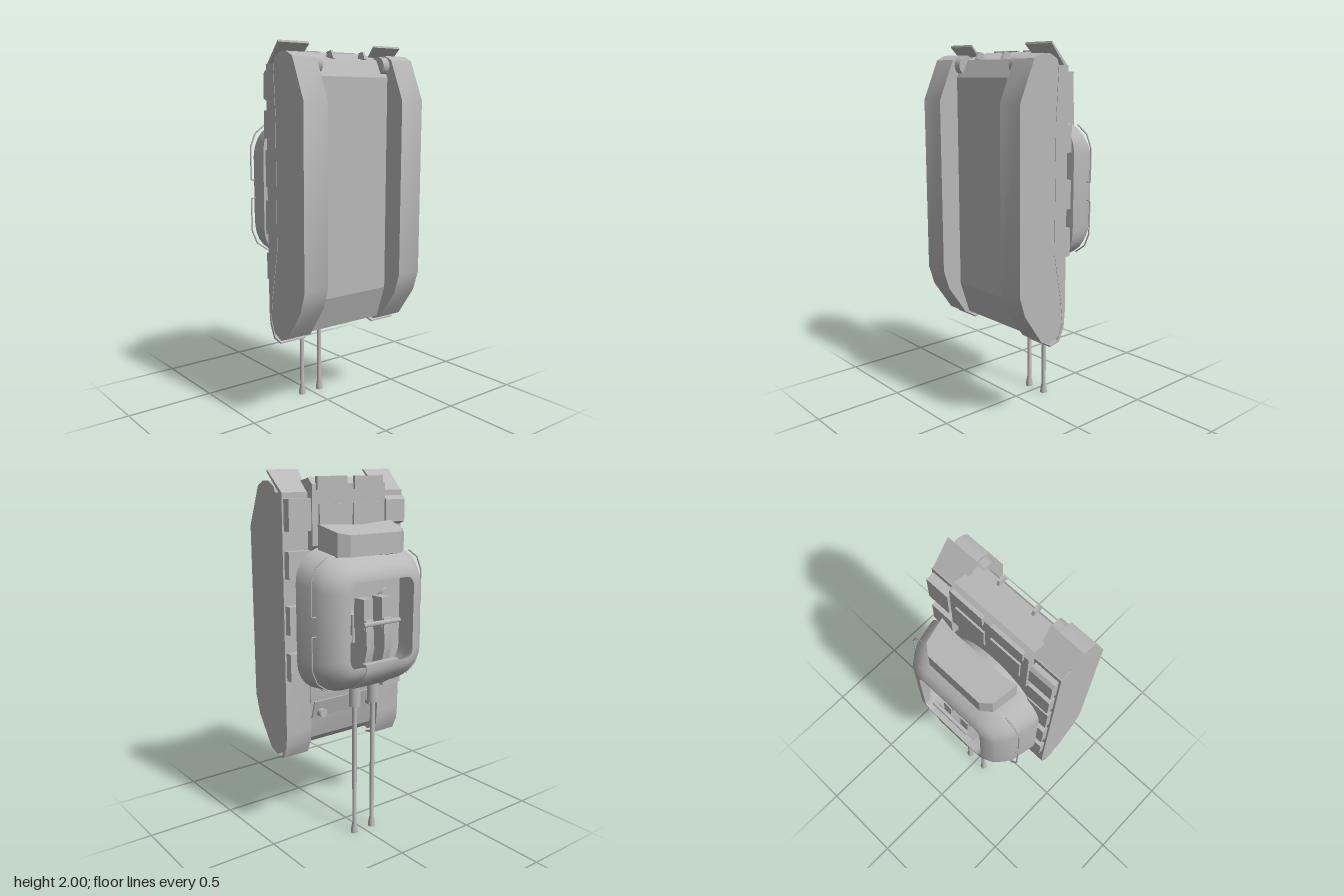
import * as THREE from 'three';
import { toCreasedNormals } from 'three/addons/utils/BufferGeometryUtils.js';

export function createModel() {
  const model = new THREE.Group();
  const grey = new THREE.MeshStandardMaterial({ color: 0xb8b8b8 });
  grey.name = 'plainGrey';

  const add = (name, geo) => {
    const m = new THREE.Mesh(geo, grey);
    m.name = name;
    model.add(m);
    return m;
  };
  const box = (name, x0, x1, y0, y1, z0, z1) =>
    add(name, new THREE.BoxGeometry(x1 - x0, y1 - y0, z1 - z0)
      .translate((x0 + x1) / 2, (y0 + y1) / 2, (z0 + z1) / 2));
  // side profile of [z, y] points swept from x0 to x1
  const prism = (name, pts, x0, x1, crease = 0.3) => {
    const shape = new THREE.Shape(pts.map(([z, y]) => new THREE.Vector2(-z, y)));
    const geo = new THREE.ExtrudeGeometry(shape, { depth: x1 - x0, bevelEnabled: false });
    return add(name, toCreasedNormals(geo.rotateY(Math.PI / 2).translate(x0, 0, 0), crease));
  };
  const rod = (name, r, x0, x1, y, z, sides = 12) =>
    add(name, toCreasedNormals(new THREE.CylinderGeometry(r, r, x1 - x0, sides), 0.7)
      .rotateZ(Math.PI / 2).translate((x0 + x1) / 2, y, z));
  const lathe = (name, pts, x, z) =>
    add(name, toCreasedNormals(new THREE.LatheGeometry(
      pts.map(([r, y]) => new THREE.Vector2(r, y)), 16), 0.6).translate(x, 0, z));
  const disc = (name, r, depth, x, y, z, sides = 12) =>
    add(name, toCreasedNormals(new THREE.CylinderGeometry(r, r, depth, sides), 0.7)
      .rotateX(Math.PI / 2).translate(x, y, z));

  // Hull, standing on its nose with the belly towards +z
  prism('hull', [[0.21, 0.68], [0.21, 1.83], [0.165, 1.92], [0, 1.96], [-0.035, 1.93],
    [-0.035, 1.62], [0, 1.58], [0, 0.76], [0.06, 0.54], [0.12, 0.49], [0.15, 0.5]], -0.24, 0.24);
  prism('nosePlateLip', [[-0.012, 0.77], [0.005, 0.77], [0.03, 0.67], [0.015, 0.67]], -0.22, 0.22);

  for (const s of [-1, 1]) {
    const span = (a, b) => (s > 0 ? [a, b] : [-b, -a]);
    // Tracks
    prism('track', [[0.32, 0.77], [0.32, 1.71], [0.23, 1.92], [0.18, 1.945], [0.13, 1.945],
      [0.08, 1.92], [0.06, 1.87], [0.07, 1.62], [0.07, 0.95], [0.03, 0.68], [0.022, 0.57],
      [0.05, 0.5], [0.11, 0.472], [0.17, 0.495], [0.285, 0.66]], ...span(0.247, 0.393), 0.5);
    // Fender with its bent front lip
    prism('fender', [[0.005, 0.62], [0.005, 1.89], [0.07, 1.89], [0.085, 1.62], [0.085, 0.95],
      [0.035, 0.68], [0.022, 0.56], [0.055, 0.48], [0.11, 0.463], [0.11, 0.455], [0.045, 0.468],
      [0.012, 0.54]], ...span(0.235, 0.395), 0.5);
    // Flared rear mud flap
    const flap = prism('mudFlap', [[0.125, 2], [0.005, 1.885], [0.005, 1.875], [0.02, 1.875],
      [0.128, 1.99]], ...span(0.235, 0.39));
    const p = flap.geometry.attributes.position;
    for (let i = 0; i < p.count; i++) {
      const k = Math.max(0, p.getZ(i)) / 0.125;
      const x = Math.abs(p.getX(i));
      p.setX(i, s * (x + (x > 0.3 ? 0.012 : -0.02) * k));
    }
    flap.geometry.computeVertexNormals();
    // Final drives, tow hooks and raised rear covers
    rod('finalDrive', 0.048, ...span(0.2, 0.242), 1.89, 0.175, 14);
    rod('idlerHub', 0.05, ...span(0.222, 0.25), 0.56, 0.1, 14);
    prism('towHook', [[0.13, 1.92], [0.14, 1.955], [0.17, 1.96], [0.19, 1.92]],
      s * 0.105 - 0.007, s * 0.105 + 0.007);
    box('rearCover', ...span(0.025, 0.215), 1.9, 1.968, -0.048, -0.028);
    box('engineHatch', ...span(0.02, 0.2), 1.69, 1.83, -0.045, -0.03);
    disc('headlight', 0.024, 0.04, s * 0.17, 0.7, -0.005);
    disc('driverHatch', 0.065, 0.02, s * 0.12, 0.87, -0.005, 16);
    // Sleeved gun barrel with a flared muzzle
    lathe('gunBarrel', [[0, 0], [0.02, 0], [0.019, 0.02], [0.012, 0.06], [0.014, 0.76],
      [0.032, 0.76], [0.032, 0.92], [0, 0.92]], s * 0.063, -0.163);
    // Gun cradle, breech and crew seat inside the turret
    prism('gunCradle', [[-0.13, 0.93], [-0.2, 0.93], [-0.265, 1.0], [-0.29, 1.1], [-0.28, 1.25],
      [-0.21, 1.27], [-0.15, 1.2]], ...span(0.035, 0.085), 0.5);
    box('breech', ...span(0.03, 0.09), 1.2, 1.36, -0.27, -0.19);
    disc('seat', 0.05, 0.03, s * 0.17, 1.33, -0.14, 16);
    disc('seatPost', 0.015, 0.06, s * 0.17, 1.33, -0.1);
    disc('handwheel', 0.035, 0.012, s * 0.15, 1.15, -0.2, 16);
    // Turret grab rails, front and rear
    for (const f of [-1, 1]) {
      const path = new THREE.CurvePath();
      const q = [[0.27, 0.345], [0.335, 0.3], [0.365, 0.23], [0.367, 0.05], [0.335, 0.05]]
        .map(([x, y]) => new THREE.Vector3(s * x, 1.24 + f * y, -0.2));
      for (let i = 1; i < q.length; i++) path.add(new THREE.LineCurve3(q[i - 1], q[i]));
      add('grabRail', new THREE.TubeGeometry(path, 40, 0.004, 6));
    }
  }

  // Stowage boxes along the fenders: x side, y range, height
  for (const [s, y0, y1, h] of [[1, 1.7, 1.86, 0.042], [1, 1.46, 1.6, 0.035], [1, 1.17, 1.32, 0.035],
    [1, 0.92, 1.07, 0.035], [-1, 1.52, 1.66, 0.035], [-1, 1.27, 1.46, 0.025],
    [-1, 1.02, 1.2, 0.03], [-1, 0.78, 0.92, 0.025]]) {
    box('stowageBox', s > 0 ? 0.25 : -0.385, s > 0 ? 0.385 : -0.25, y0, y1, -h, 0.01);
  }
  prism('rearStowageWedge', [[0.01, 1.7], [0.01, 1.86], [-0.02, 1.86], [-0.035, 1.84],
    [-0.035, 1.72]], -0.385, -0.25);

  disc('turretRing', 0.3, 0.075, 0, 1.2, -0.035, 40);

  // Open turret lofted from rounded rectangles: half width, bottom, top, corner radius, z
  const rings = [
    [0.02, 1.2, 1.24, 0.01, -0.055], [0.3, 0.93, 1.55, 0.15, -0.055],
    [0.37, 0.865, 1.62, 0.17, -0.07], [0.343, 0.88, 1.59, 0.16, -0.2],
    [0.32, 0.905, 1.56, 0.15, -0.245], [0.285, 0.945, 1.525, 0.12, -0.288],
    [0.24, 0.99, 1.485, 0.08, -0.313], [0.21, 1.015, 1.46, 0.05, -0.315],
    [0.215, 1.01, 1.465, 0.05, -0.285], [0.3, 0.93, 1.53, 0.11, -0.2],
    [0.32, 0.91, 1.56, 0.13, -0.08], [0.02, 1.2, 1.24, 0.01, -0.08]];
  const steps = 7, n = 4 * steps, pos = [], idx = [];
  for (const [w, y0, y1, r, z] of rings) {
    for (let j = 0; j < n; j++) {
      const c = Math.floor(j / steps);
      const a = (c + (j % steps) / (steps - 1)) * Math.PI / 2;
      const cx = c === 0 || c === 3 ? w - r : r - w;
      const cy = c < 2 ? y1 - r : y0 + r;
      pos.push(cx + r * Math.cos(a), cy + r * Math.sin(a), z);
    }
  }
  for (let i = 0; i < rings.length - 1; i++) {
    for (let j = 0; j < n; j++) {
      const a = i * n + j, b = i * n + (j + 1) % n;
      idx.push(a, a + n, b, b, a + n, b + n);
    }
  }
  const shell = new THREE.BufferGeometry();
  shell.setAttribute('position', new THREE.Float32BufferAttribute(pos, 3));
  shell.setIndex(idx);
  add('turretShell', toCreasedNormals(shell, 0.75));

  // Curved mantlet over the front wall
  prism('mantlet', [[-0.1, 0.861], [-0.2, 0.872], [-0.25, 0.9], [-0.295, 0.945], [-0.318, 0.99],
    [-0.318, 1.03], [-0.28, 1.03], [-0.2, 0.95], [-0.1, 0.95]], -0.11, 0.11, 0.6);
  rod('cradleCrossbar', 0.012, -0.115, 0.125, 1.24, -0.312);
  box('gunMount', -0.1, 0.1, 1.12, 1.27, -0.19, -0.08);

  // Rear turret bin with a sloping end
  const outline = [[-0.235, -0.09], [0.005, -0.13], [0.245, -0.09], [0.22, -0.22],
    [0.17, -0.26], [-0.16, -0.26], [-0.21, -0.22]].map(([x, z]) => new THREE.Vector2(x, -z));
  const bin = new THREE.ExtrudeGeometry(new THREE.Shape(outline), { depth: 0.185, bevelEnabled: false });
  bin.rotateX(-Math.PI / 2).translate(0, 1.55, 0);
  const bp = bin.attributes.position;
  for (let i = 0; i < bp.count; i++) {
    if (bp.getY(i) > 1.7) bp.setY(i, 1.735 + (bp.getZ(i) + 0.09) * 0.27);
    else if (bp.getZ(i) < -0.2) bp.setY(i, 1.58);
  }
  bin.computeVertexNormals();
  add('turretBin', bin);
  return model;
}
